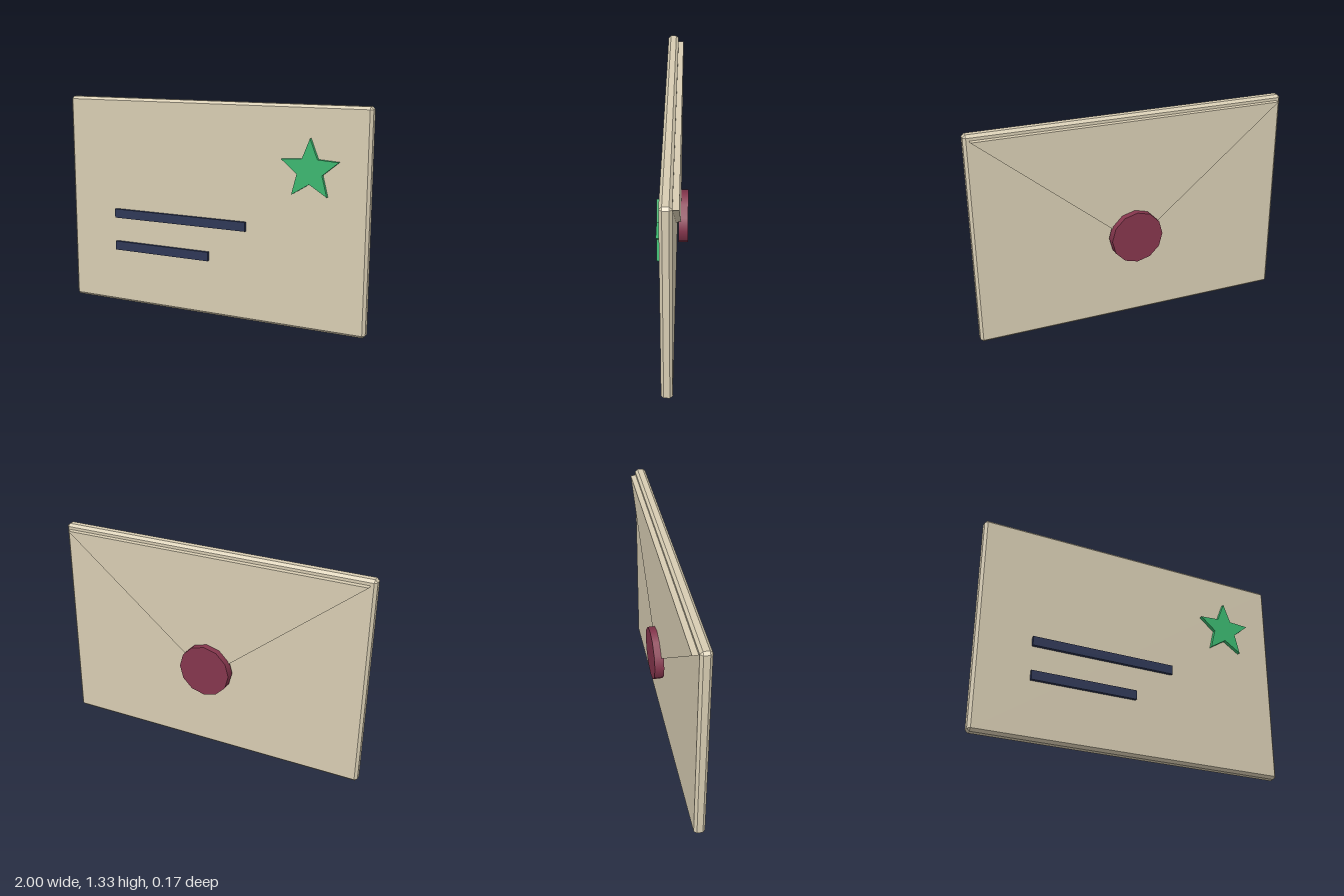
import * as THREE from 'three';
import { ConvexGeometry } from 'three/addons/geometries/ConvexGeometry.js';

const material = (name, color) => {
  const m = new THREE.MeshStandardMaterial({ color });
  m.name = name;
  return m;
};

// Box with every edge and corner cut by c
function chamferedBox(w, h, d, c) {
  const points = [];
  for (const sx of [-1, 1]) for (const sy of [-1, 1]) for (const sz of [-1, 1]) {
    for (let full = 0; full < 3; full++) {
      const half = [w / 2, h / 2, d / 2].map((v, i) => (i === full ? v : v - c));
      points.push(new THREE.Vector3(sx * half[0], sy * half[1], sz * half[2]));
    }
  }
  return new ConvexGeometry(points);
}

// Flat outline pushed from z0 to z1
function slab(points, z0, z1) {
  const shape = new THREE.Shape(points.map(([x, y]) => new THREE.Vector2(x, y)));
  return new THREE.ExtrudeGeometry(shape, { depth: z1 - z0, bevelEnabled: false }).translate(0, 0, z0);
}

export function createModel() {
  const group = new THREE.Group();
  group.name = 'envelope';
  const paper = material('paper', 0xd8cdb3);
  const ink = material('ink', 0x2e3756);
  const green = material('stamp green', 0x3ab76f);
  const wax = material('wax', 0x85364d);

  const add = (name, geometry, mat) => {
    const mesh = new THREE.Mesh(geometry, mat);
    mesh.name = name;
    group.add(mesh);
    return mesh;
  };

  // Envelope body
  add('body', chamferedBox(2, 1.333, 0.067, 0.016), paper).position.set(0, 0.6665, 0.0265);

  // Triangular flap on the back
  add('flap', slab([[-0.967, 1.3], [0, 0.508], [0.967, 1.3]], -0.04, 0), paper);

  // Round wax seal over the flap tip
  const seal = new THREE.CylinderGeometry(0.166, 0.166, 0.058, 12).rotateX(Math.PI / 2);
  add('seal', seal, wax).position.set(0, 0.5625, -0.054);

  // Address lines
  [[-0.667, 0.25, 0.592], [-0.667, 0, 0.379]].forEach(([x0, x1, y], i) => {
    add(`addressLine${i + 1}`, new THREE.BoxGeometry(x1 - x0, 0.057, 0.03), ink)
      .position.set((x0 + x1) / 2, y, 0.065);
  });

  // Star stamp
  const star = [];
  for (let i = 0; i < 10; i++) {
    const r = i % 2 ? 0.08 : 0.183;
    const a = Math.PI / 2 + (i * Math.PI) / 5;
    star.push([0.65 + r * Math.cos(a), 0.962 + r * Math.sin(a)]);
  }
  add('starStamp', slab(star, 0.05, 0.083), green);

  return group;
}
